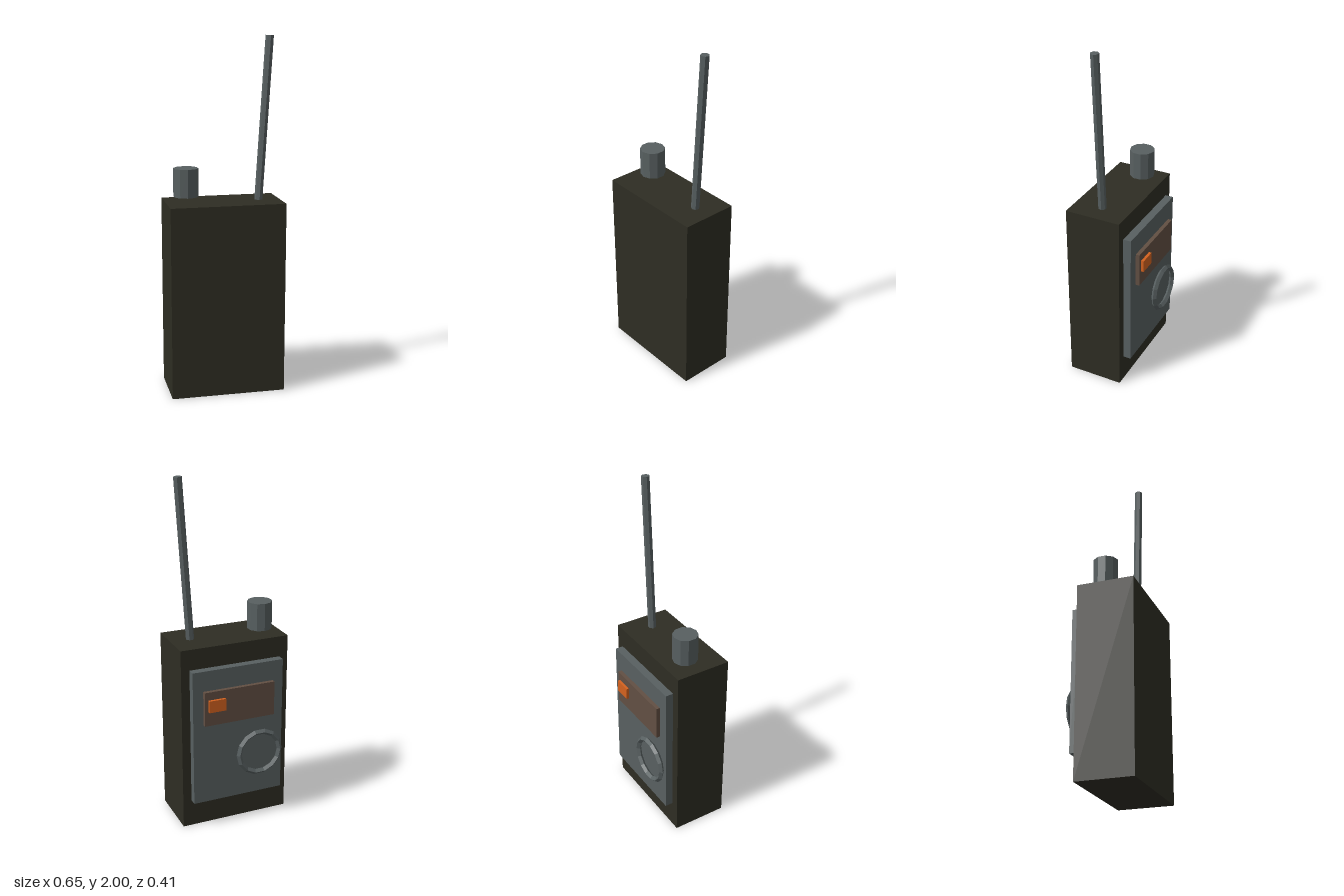
import * as THREE from 'three';

const material = (name, color) => {
  const m = new THREE.MeshStandardMaterial({ color, flatShading: true });
  m.name = name;
  return m;
};

export function createModel() {
  const olive = material('darkOlive', 0x2e2d23);
  const grey = material('slateGrey', 0x586061);
  const brown = material('screenBrown', 0x624f43);
  const orange = material('signalOrange', 0xd4621f);

  const group = new THREE.Group();
  group.name = 'handheldRadio';

  const add = (name, geometry, mat) => {
    const mesh = new THREE.Mesh(geometry, mat);
    mesh.name = name;
    group.add(mesh);
    return mesh;
  };

  // Box given by its minimum and maximum corners
  const addBox = (name, mat, [x0, y0, z0], [x1, y1, z1]) =>
    add(name, new THREE.BoxGeometry(x1 - x0, y1 - y0, z1 - z0), mat)
      .position.set((x0 + x1) / 2, (y0 + y1) / 2, (z0 + z1) / 2);

  // Case and the layered panel on its back
  addBox('case', olive, [-0.323, 0, -0.121], [0.323, 1.09, 0.203]);
  addBox('panel', grey, [-0.273, 0.163, -0.167], [0.273, 0.97, -0.121]);
  addBox('display', brown, [-0.212, 0.65, -0.19], [0.212, 0.852, -0.167]);
  addBox('button', orange, [0.091, 0.735, -0.206], [0.191, 0.805, -0.19]);

  // Speaker ring
  add('speakerRing', new THREE.TorusGeometry(0.127, 0.016, 4, 14), grey)
    .position.set(-0.126, 0.426, -0.184);

  // Tuning knob, floating just above the case
  add('knob', new THREE.CylinderGeometry(0.071, 0.071, 0.16, 10), grey)
    .position.set(-0.203, 1.195, 0);

  // Antenna leaning outward
  const base = new THREE.Vector3(0.205, 1.08, 0.041);
  const tip = new THREE.Vector3(0.262, 1.9986, 0.041);
  const antenna = add('antenna',
    new THREE.CylinderGeometry(0.0237, 0.0237, base.distanceTo(tip), 7), grey);
  antenna.position.copy(base).lerp(tip, 0.5);
  antenna.rotation.z = -Math.atan2(tip.x - base.x, tip.y - base.y);

  return group;
}
